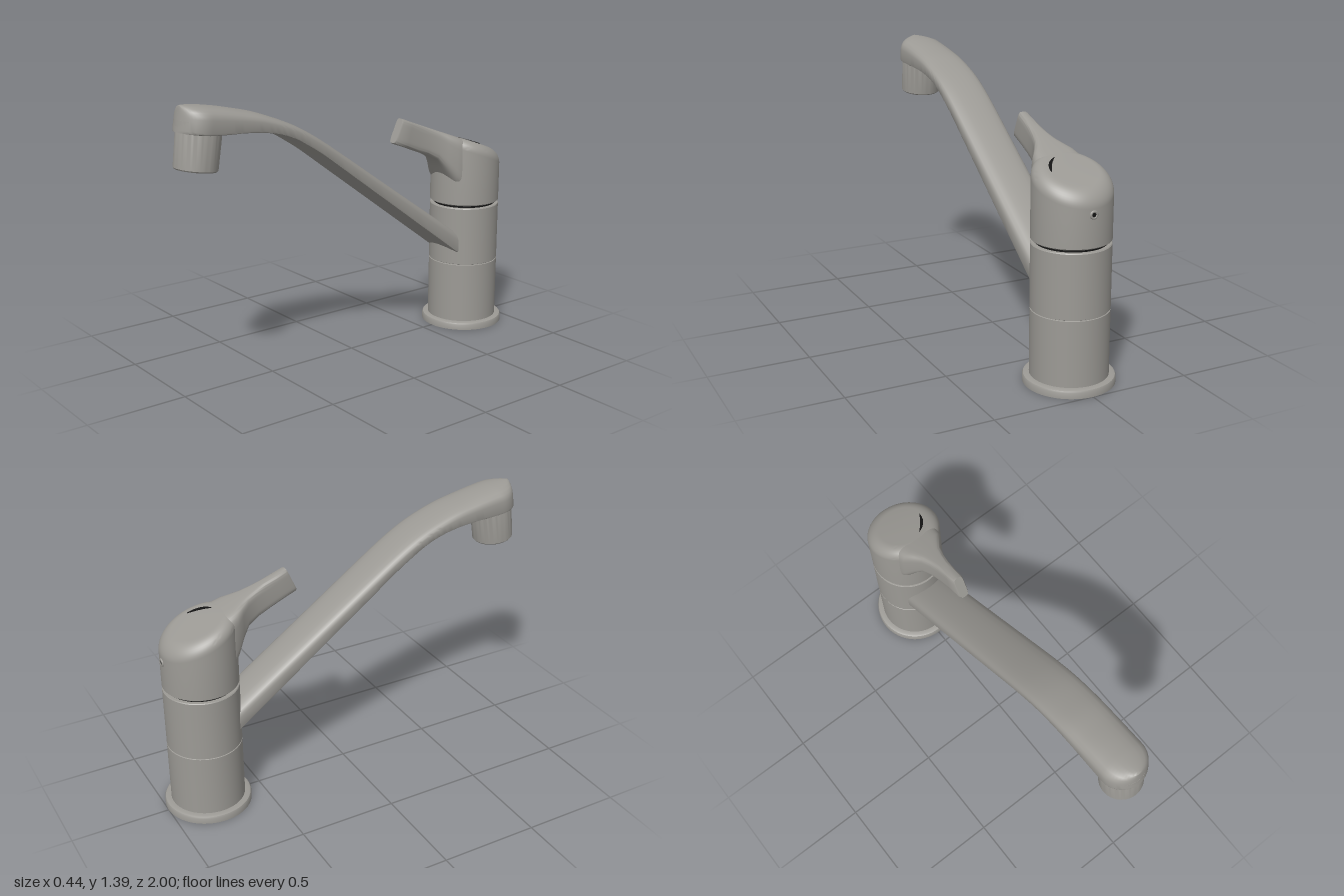
import * as THREE from 'three';
import { toCreasedNormals } from 'three/addons/utils/BufferGeometryUtils.js';

const CZ = -0.783;                                  // z of the column axis
const lidY = (z) => 1.01 + 0.377 * (z - CZ);        // sloping plane of the lid and lever

const metal = new THREE.MeshStandardMaterial({ color: 0x9c9a95 });
metal.name = 'brushed metal';
const dark = new THREE.MeshStandardMaterial({ color: 0x141414 });
dark.name = 'black';
const mesh3 = new THREE.MeshStandardMaterial({ color: 0x5c5a56 });
mesh3.name = 'filter grey';

// Skin a list of closed rings (each an array of [x, y, z]) and cap both ends
function loft(rings, crease = 0.6) {
  const n = rings[0].length, index = [];
  for (let i = 0; i < rings.length - 1; i++) {
    for (let j = 0; j < n; j++) {
      const a = i * n + j, b = i * n + (j + 1) % n;
      index.push(a, b, b + n, a, b + n, a + n);
    }
  }
  const last = (rings.length - 1) * n;
  for (let j = 1; j < n - 1; j++) {
    index.push(0, j + 1, j, last, last + j, last + j + 1);
  }
  const g = new THREE.BufferGeometry();
  g.setAttribute('position', new THREE.Float32BufferAttribute(rings.flat(2), 3));
  g.setIndex(index);
  return toCreasedNormals(g, crease);
}

function lathe(points, segments = 72) {
  const g = new THREE.LatheGeometry(points.map(([r, y]) => new THREE.Vector2(r, y)), segments);
  return toCreasedNormals(g, 0.5);
}

function add(parent, name, geometry, material, x = 0, y = 0, z = 0) {
  const m = new THREE.Mesh(geometry, material);
  m.name = name;
  m.position.set(x, y, z);
  parent.add(m);
  return m;
}

// Cartridge cap: round wall with a filleted, sloping top
function capGeometry() {
  const R = 0.186, f = 0.065, rings = [];
  const ring = (r, yAt) => Array.from({ length: 72 }, (_, j) => {
    const a = j / 72 * Math.PI * 2, z = CZ - r * Math.sin(a);
    return [r * Math.cos(a), yAt(z), z];
  });
  rings.push(ring(R - 0.005, () => 0.69), ring(R, () => 0.695));
  for (let k = 0; k <= 10; k++) {
    const t = k / 10 * Math.PI / 2;
    rings.push(ring(R - f * (1 - Math.cos(t)), (z) => lidY(z) - f * (1 - Math.sin(t))));
  }
  return loft(rings);
}

// Lever: rounded sections that narrow from the cap to a slanted tip
function leverGeometry() {
  // top z, bottom z, bottom y, half width
  const stations = [
    [-0.70, -0.70, 0.75, 0.13], [-0.66, -0.66, 0.76, 0.13], [-0.62, -0.62, 0.82, 0.118],
    [-0.58, -0.58, 0.89, 0.088], [-0.54, -0.54, 0.945, 0.062], [-0.49, -0.48, 0.977, 0.045],
    [-0.44, -0.42, 1.0, 0.036], [-0.38, -0.345, 1.03, 0.031], [-0.328, -0.272, 1.057, 0.028],
    [-0.32, -0.265, 1.063, 0.023],
  ];
  const soft = (c) => Math.sign(c) * Math.abs(c) ** 0.42;
  return loft(stations.map(([zt, zb, yb, w]) => Array.from({ length: 40 }, (_, j) => {
    const a = j / 40 * Math.PI * 2, v = (soft(Math.sin(a)) + 1) / 2;
    return [w * soft(Math.cos(a)), yb + (lidY(zt) - yb) * v, zb + (zt - zb) * v];
  })), 0.8);
}

// Spout: flat underside, crowned top, half-round end
function spoutGeometry() {
  const half = [[0, 0], [0.93, 0], [0.98, 0.03], [1, 0.1], [1, 0.55], [0.97, 0.67],
    [0.9, 0.79], [0.75, 0.89], [0.5, 0.96], [0.25, 0.99], [0, 1]];
  const section = [...half, ...half.slice(1, -1).reverse().map(([x, v]) => [-x, v])];
  // z, top y, bottom y
  const path = [
    [-0.72, 0.498, 0.37], [-0.4, 0.718, 0.605], [-0.1, 0.924, 0.826], [0.1, 1.062, 0.973],
    [0.25, 1.163, 1.083], [0.33, 1.212, 1.135], [0.41, 1.253, 1.182], [0.5, 1.29, 1.217],
    [0.6, 1.325, 1.238], [0.7, 1.348, 1.247], [0.785, 1.365, 1.25], [0.875, 1.38, 1.256],
  ].map((p) => new THREE.Vector3(...p));
  const stations = new THREE.CatmullRomCurve3(path).getPoints(60)
    .map((p) => [p.x, p.y, p.z, 0.118]);
  for (let k = 1; k <= 12; k++) {
    const a = k / 12 * Math.PI / 2, d = 0.116 * Math.sin(a);
    stations.push([0.875 + d, 1.38 + 0.13 * d - 0.006 * (1 - Math.cos(a)), 1.256 + 0.13 * d,
      0.118 * Math.cos(a) + 0.0005]);
  }
  return loft(stations.map(([z, top, bottom, w]) => {
    const lean = 0.02 * THREE.MathUtils.smoothstep(z, 0.6, 0.875);
    return section.map(([x, v]) => [x * w, bottom + (top - bottom) * v, z - lean * v]);
  }), 0.7);
}

// Crescent mark lying on the lid
function crescentGeometry() {
  const s = new THREE.Shape();
  s.absarc(0, 0, 0.108, -1.2, 0.02, false);
  s.quadraticCurveTo(0.078, -0.06, 0.108 * Math.cos(1.2), -0.108 * Math.sin(1.2));
  return new THREE.ExtrudeGeometry(s, { depth: 0.004, bevelEnabled: false, curveSegments: 20 });
}

export function createModel() {
  const model = new THREE.Group();
  model.name = 'mixerTap';

  // Column
  add(model, 'baseFlange', lathe([[0, 0], [0.218, 0], [0.218, 0.028], [0.214, 0.036],
    [0.205, 0.04], [0.18, 0.04]]), metal, 0, 0, CZ);
  add(model, 'lowerBody', lathe([[0.186, 0.038], [0.186, 0.359], [0.182, 0.361], [0.182, 0.364],
    [0.186, 0.366], [0.186, 0.672], [0.183, 0.676], [0, 0.676]]), metal, 0, 0, CZ);
  add(model, 'gapRing', new THREE.CylinderGeometry(0.165, 0.165, 0.03, 64), dark, 0, 0.683, CZ);
  add(model, 'cap', capGeometry(), metal);
  add(model, 'lever', leverGeometry(), metal);

  // Mark on the lid
  const mark = add(model, 'lidMark', crescentGeometry(), dark, 0, 1.01, CZ);
  mark.rotation.x = -Math.PI / 2 - Math.atan(0.377);

  // Grub screw at the back of the cap
  const screw = new THREE.Group();
  screw.name = 'grubScrew';
  screw.position.set(0, 0.848, CZ - 0.186);
  add(screw, 'screwRim', new THREE.TorusGeometry(0.015, 0.006, 10, 28), metal);
  const hole = add(screw, 'screwSocket', new THREE.CylinderGeometry(0.011, 0.011, 0.006, 6), dark);
  hole.rotation.x = Math.PI / 2;
  model.add(screw);

  // Spout with its tilted nozzle
  add(model, 'spout', spoutGeometry(), metal);
  const nozzle = new THREE.Group();
  nozzle.name = 'nozzle';
  nozzle.position.set(0, 1.087, 0.897);
  nozzle.rotation.x = -0.135;
  add(nozzle, 'collar', lathe([[0.1, 0.178], [0.114, 0.178], [0.117, 0.181], [0.117, 0.225],
    [0, 0.225]]), metal);
  add(nozzle, 'nozzleBarrel', lathe([[0.088, 0.02], [0.088, 0.004], [0.092, 0], [0.099, 0],
    [0.104, 0.006], [0.107, 0.172], [0.104, 0.175], [0.1, 0.19]]), metal);
  add(nozzle, 'filter', new THREE.CylinderGeometry(0.089, 0.089, 0.01, 48), mesh3, 0, 0.017, 0);
  model.add(nozzle);

  return model;
}
